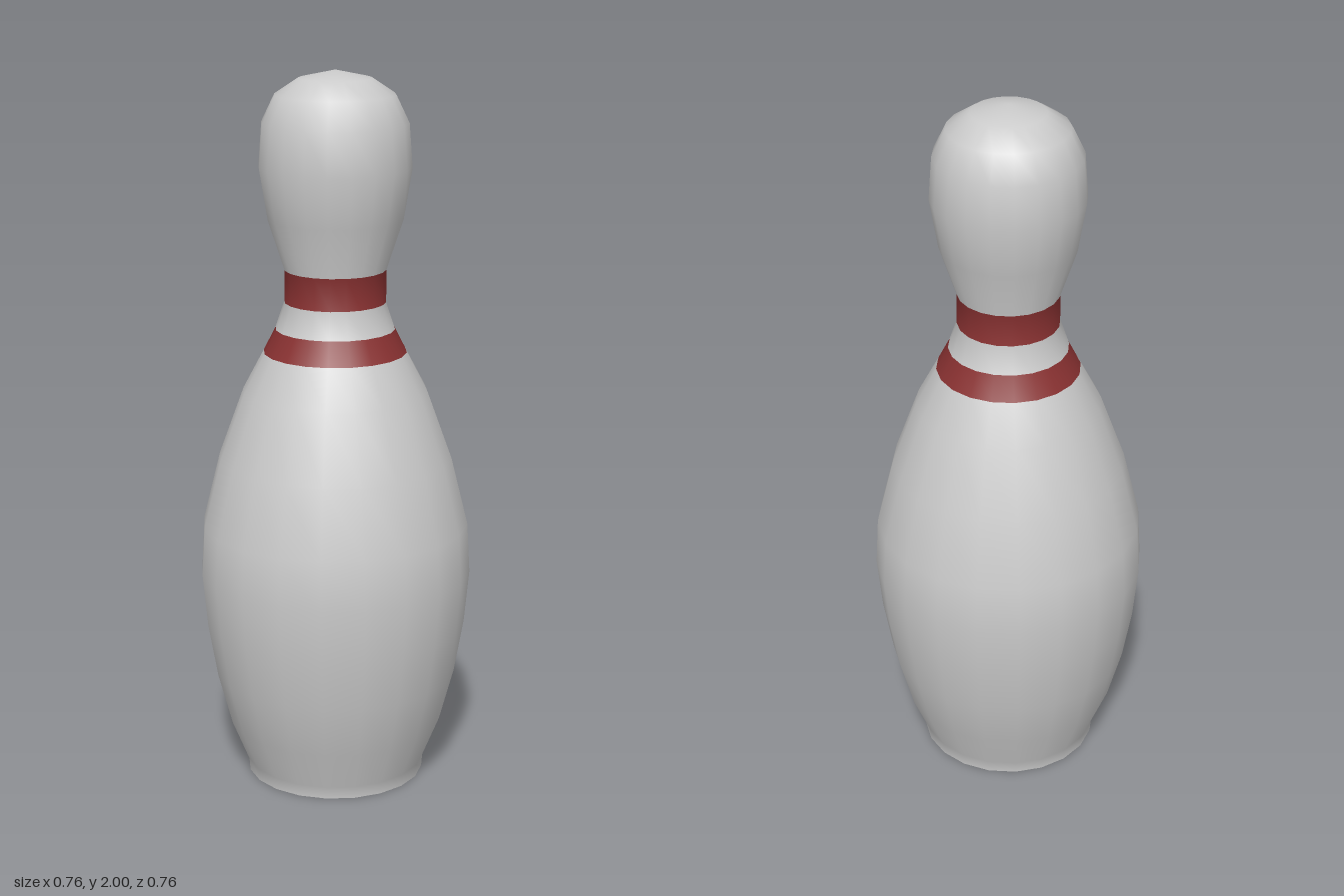
import * as THREE from 'three';

const SIDES = 20;

// Radius and height, from the foot to the crown
const PROFILE = [
  [0.25, 0], [0.253, 0.035], [0.3, 0.15], [0.34, 0.3], [0.366, 0.45], [0.38, 0.6],
  [0.372, 0.74], [0.325, 0.93], [0.256, 1.12], [0.198, 1.23], [0.165, 1.295],
  [0.14, 1.37], [0.14, 1.46], [0.186, 1.6], [0.209, 1.74], [0.2, 1.86],
  [0.164, 1.935], [0.1, 1.978], [0, 2],
];

export function createModel() {
  const group = new THREE.Group();
  const white = new THREE.MeshStandardMaterial({ color: 0xcccccc });
  const red = new THREE.MeshStandardMaterial({ color: 0x8a3232 });

  // One smooth turned surface, so shading runs on across the colour seams
  const lathe = new THREE.LatheGeometry(PROFILE.map(([r, y]) => new THREE.Vector2(r, y)), SIDES);
  const rows = PROFILE.length;
  for (let i = 0; i <= SIDES; i++) lathe.attributes.normal.setXYZ(i * rows + rows - 1, 0, 1, 0);

  // Cut out the rings of the surface between two profile points
  const addSection = (name, from, to, material) => {
    const geometry = lathe.clone();
    const index = [];
    for (let i = 0; i < SIDES; i++) {
      for (let j = from; j < to; j++) {
        const a = i * rows + j, b = a + rows, c = b + 1, d = a + 1;
        index.push(a, b, d);
        if (j < rows - 2) index.push(c, d, b);
      }
    }
    geometry.setIndex(index);
    const mesh = new THREE.Mesh(geometry.toNonIndexed(), material);
    mesh.name = name;
    group.add(mesh);
  };

  addSection('belly', 0, 9, white);
  addSection('lowerStripe', 9, 10, red);
  addSection('neck', 10, 11, white);
  addSection('upperStripe', 11, 12, red);
  addSection('head', 12, rows - 1, white);

  // Flat underside
  const base = new THREE.Mesh(new THREE.CircleGeometry(PROFILE[0][0], SIDES), white);
  base.rotation.x = Math.PI / 2;
  base.name = 'base';
  group.add(base);

  return group;
}
